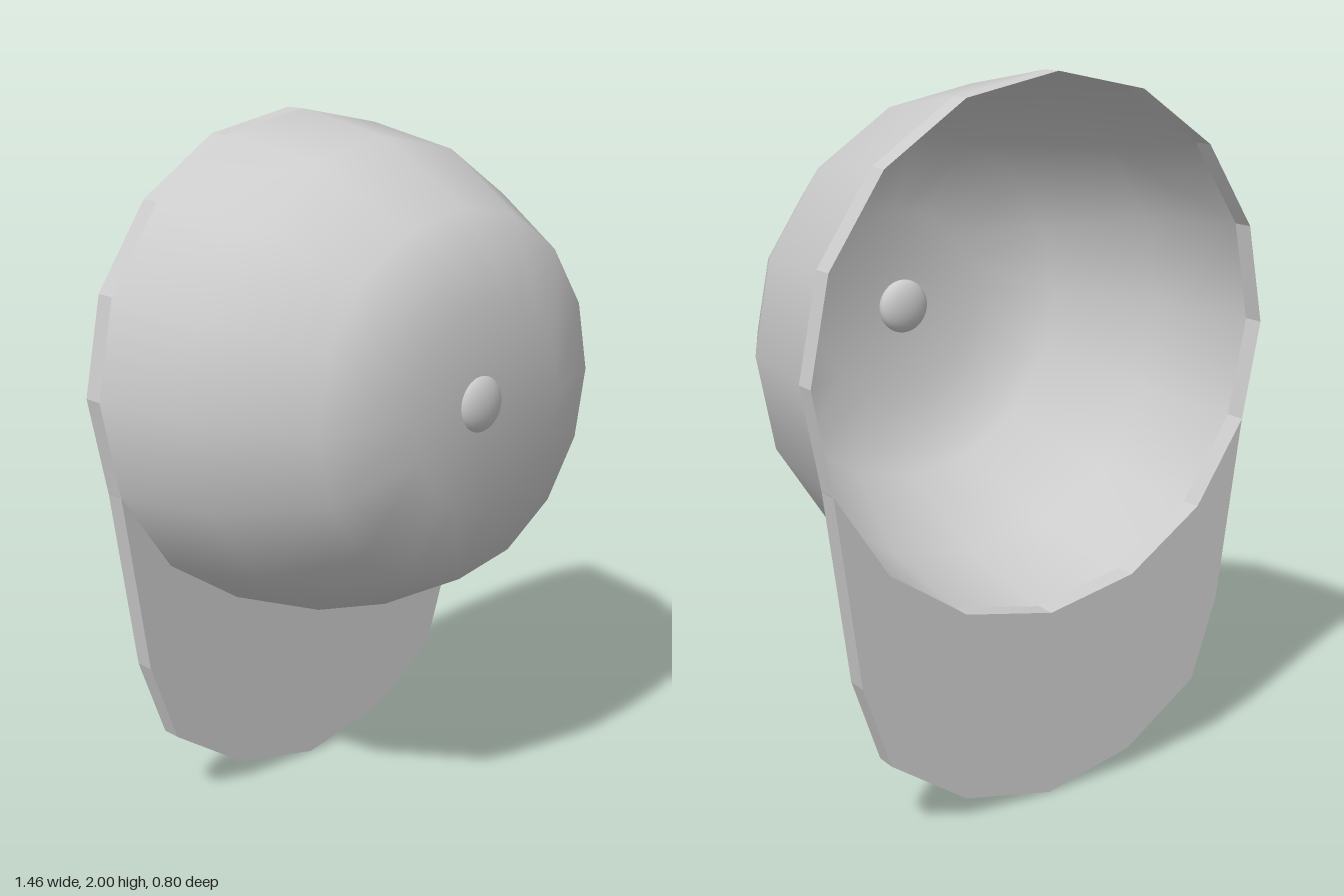
import * as THREE from 'three';
import { mergeVertices } from 'three/addons/utils/BufferGeometryUtils.js';

const SIDES = 16, RADIUS = 0.73, CENTRE_Y = 1.27;
const BACK = -0.4, RIM = -0.34;

function material(options = {}) {
  return new THREE.MeshStandardMaterial({ color: 0xcccccc, ...options });
}

export function createModel() {
  const group = new THREE.Group();
  group.name = 'cap';
  const add = (name, geometry, mat) => {
    const mesh = new THREE.Mesh(geometry, mat);
    mesh.name = name;
    group.add(mesh);
    return mesh;
  };

  // Crown: thin smooth shell, open at the back, slightly dimpled at the button
  const profile = [[RADIUS, RIM], [0.675, 0], [0.516, 0.3], [0.28, 0.4], [0, 0.362]]
    .map(([r, z]) => new THREE.Vector2(r, z));
  let dome = new THREE.LatheGeometry(profile, SIDES);
  dome.deleteAttribute('normal');
  dome.deleteAttribute('uv');
  dome = mergeVertices(dome, 1e-4);
  dome.computeVertexNormals();
  dome.rotateX(Math.PI / 2).translate(0, CENTRE_Y, 0);
  add('crown', dome, material({ side: THREE.DoubleSide }));

  // Rim band: faceted strip around the opening
  const band = new THREE.CylinderGeometry(RADIUS, RADIUS, RIM - BACK, SIDES, 1, true);
  band.rotateX(Math.PI / 2).translate(0, CENTRE_Y, (RIM + BACK) / 2);
  add('rimBand', band, material({ side: THREE.DoubleSide, flatShading: true }));

  // Visor: flat slab whose upper edge follows the rim
  const outer = [[-0.674, 0.99], [-0.6, 0.46], [-0.516, 0.22], [-0.28, 0.06], [0, 0],
    [0.28, 0.06], [0.516, 0.22], [0.6, 0.46], [0.674, 0.99]];
  const inner = [];
  for (let i = -2; i <= 2; i++) {
    const a = i * Math.PI * 2 / SIDES;
    inner.push([-RADIUS * Math.sin(a), CENTRE_Y - RADIUS * Math.cos(a)]);
  }
  const shape = new THREE.Shape([...outer, ...inner].map(([x, y]) => new THREE.Vector2(x, y)));
  const visor = new THREE.ExtrudeGeometry(shape, { depth: RIM - BACK, bevelEnabled: false });
  visor.translate(0, 0, BACK);
  add('visor', visor, material({ flatShading: true }));

  // Button: flattened ball set into the crown, showing inside and out
  const button = add('button', new THREE.SphereGeometry(0.08, 24, 16), material());
  button.scale.z = 0.5;
  button.position.set(0, CENTRE_Y, 0.362);

  return group;
}
